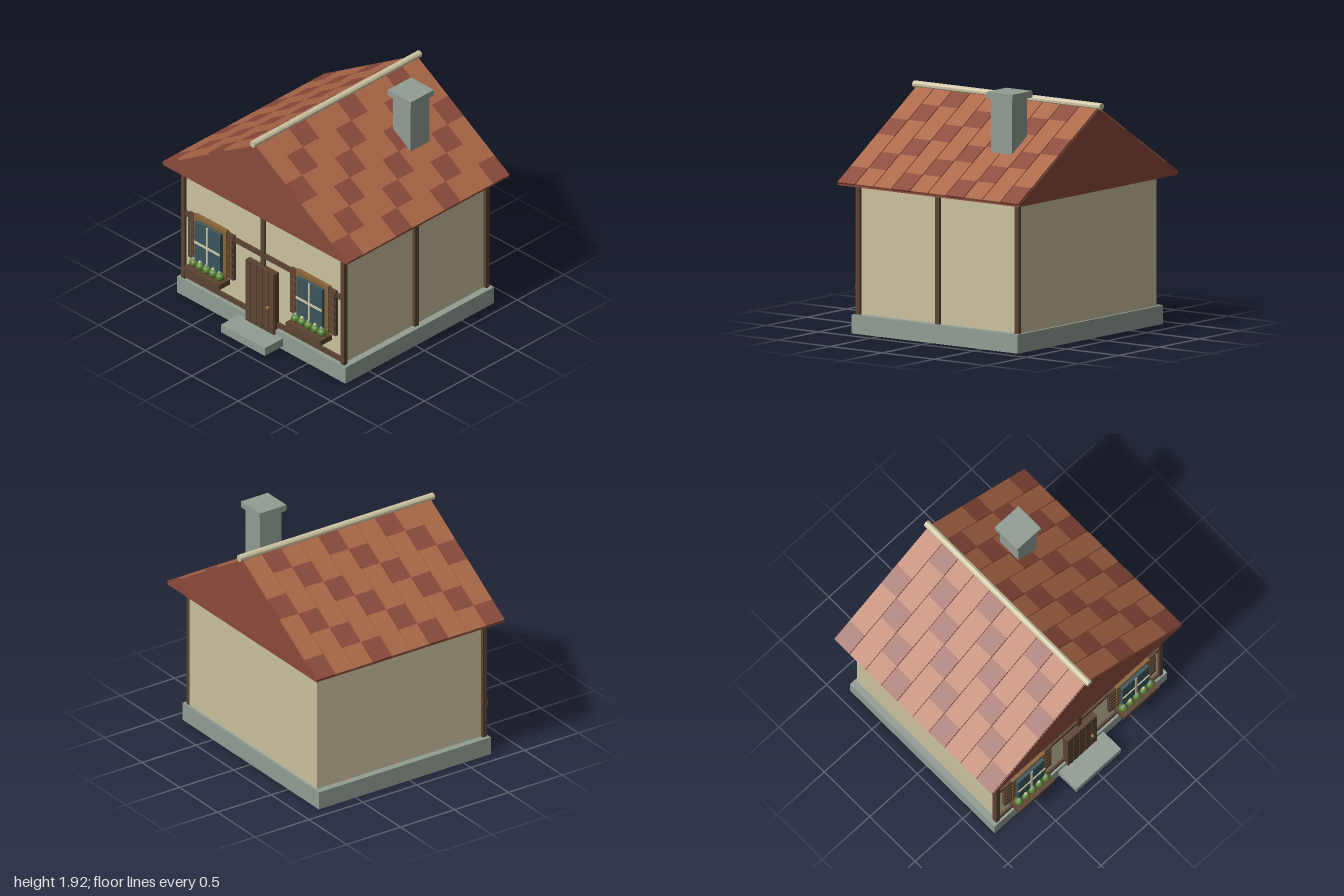
import * as THREE from 'three';

const mat = (name, color, flatShading = false) => {
  const m = new THREE.MeshStandardMaterial({ color, flatShading });
  m.name = name;
  return m;
};

export function createModel() {
  const model = new THREE.Group();
  model.name = 'cottage';
  const plaster = mat('plaster', 0xcbc19f);
  const timber = mat('dark timber', 0x5c4332);
  const stone = mat('grey stone', 0x919d94);
  const tileLight = mat('orange tile', 0xab6847);
  const tileDark = mat('red tile', 0x8b4a3b);
  const glass = mat('window glass', 0x3a565d);
  const frameWood = mat('light wood', 0x8a6439);
  const leaf = mat('leaf green', 0x568230, true);
  const cream = mat('cream', 0xcdc4a2, true);

  const add = (parent, name, geo, material, x = 0, y = 0, z = 0) => {
    const mesh = new THREE.Mesh(geo, material);
    mesh.name = name;
    mesh.position.set(x, y, z);
    parent.add(mesh);
    return mesh;
  };
  // Box given by its extents on each axis
  const box = (parent, name, m, x0, x1, y0, y1, z0, z1) =>
    add(parent, name, new THREE.BoxGeometry(x1 - x0, y1 - y0, z1 - z0), m,
      (x0 + x1) / 2, (y0 + y1) / 2, (z0 + z1) / 2);

  // Base, step and walls
  box(model, 'foundation', stone, -0.905, 0.905, 0, 0.145, -0.842, 0.753);
  box(model, 'doorStep', stone, -0.235, 0.235, 0.035, 0.105, 0.74, 0.95);
  box(model, 'walls', plaster, -0.85, 0.85, 0.14, 1.15, -0.82, 0.72);

  // Timber framing on the front and on the model's left side
  for (const s of [-1, 1]) {
    const a = s * 0.837, b = s * 0.876;
    box(model, 'frontCornerPost', timber, Math.min(a, b), Math.max(a, b), 0.145, 1.148, 0.7, 0.74);
  }
  box(model, 'frontCentrePost', timber, -0.02, 0.02, 0.145, 1.148, 0.71, 0.74);
  for (const y of [0.182, 0.74, 1.102])
    box(model, 'frontBeam', timber, -0.84, 0.84, y - 0.021, y + 0.021, 0.71, 0.738);
  box(model, 'sideMiddlePost', timber, 0.84, 0.876, 0.145, 1.148, -0.065, -0.025);
  box(model, 'sideBackPost', timber, 0.84, 0.876, 0.145, 1.148, -0.826, -0.788);

  // Door made of upright planks
  const door = new THREE.Group();
  door.name = 'door';
  model.add(door);
  box(door, 'doorPanel', timber, -0.155, 0.155, 0.03, 0.65, 0.71, 0.762);
  for (let i = 0; i < 5; i++) {
    const x = -0.155 + i * 0.062;
    box(door, 'doorPlank', timber, x + 0.003, x + 0.059, 0.03, 0.65, 0.75, 0.772);
  }
  add(door, 'doorKnob', new THREE.SphereGeometry(0.016, 12, 8), frameWood, 0.096, 0.33, 0.782);

  // Windows with shutters and flower boxes
  const ball = new THREE.IcosahedronGeometry(0.037, 1);
  const bud = new THREE.IcosahedronGeometry(0.015, 0);
  for (const s of [-1, 1]) {
    const w = new THREE.Group();
    w.name = 'window';
    w.position.x = s * 0.548;
    model.add(w);
    box(w, 'windowFrame', frameWood, -0.173, 0.173, 0.37, 0.79, 0.715, 0.757);
    box(w, 'windowPane', glass, -0.138, 0.138, 0.40, 0.757, 0.75, 0.785);
    box(w, 'uprightGlazingBar', cream, -0.009, 0.009, 0.40, 0.757, 0.78, 0.792);
    box(w, 'crossGlazingBar', cream, -0.138, 0.138, 0.566, 0.584, 0.78, 0.793);
    for (const side of [-1, 1]) {
      const cx = side * 0.208;
      box(w, 'shutter', timber, cx - 0.035, cx + 0.035, 0.375, 0.775, 0.715, 0.748);
      for (let i = 0; i < 5; i++) {
        const y = 0.445 + i * 0.067;
        box(w, 'shutterSlat', timber, cx - 0.03, cx + 0.03, y - 0.02, y + 0.02, 0.74, 0.756);
        box(w, 'shutterSlatEdge', frameWood, cx - 0.03, cx + 0.03, y - 0.025, y - 0.02, 0.74, 0.756);
      }
    }
    box(w, 'flowerBox', timber, -0.188, 0.188, 0.31, 0.355, 0.73, 0.85);
    for (let i = -2; i <= 2; i++) {
      add(w, 'plant', ball, leaf, i * 0.07, 0.388, 0.79);
      add(w, 'flower', bud, i % 2 ? cream : stone, i * 0.07, 0.424, 0.795);
    }
  }

  // Solid roof body with gable ends
  const eaveX = 0.99, eaveY = 1.158, ridgeY = 1.775, zBack = -0.922, zFront = 0.822;
  const gable = new THREE.Shape([[-eaveX, 1.147], [eaveX, 1.147], [eaveX, eaveY], [0, ridgeY], [-eaveX, eaveY]]
    .map(p => new THREE.Vector2(...p)));
  add(model, 'roofBody', new THREE.ExtrudeGeometry(gable, { depth: zFront - zBack, bevelEnabled: false }),
    tileDark, 0, 0, zBack);

  // Tile strips down each slope, with red tiles on a repeating diagonal
  const rows = 10, steps = 6, thick = 0.016;
  const pitch = (zFront - zBack) / rows;
  const angle = Math.atan2(ridgeY - eaveY, eaveX);
  const tileGeo = new THREE.BoxGeometry(Math.hypot(eaveX, ridgeY - eaveY) / steps, thick, pitch - 0.008);
  const roof = new THREE.Group();
  roof.name = 'roofTiles';
  model.add(roof);
  for (const s of [-1, 1])
    for (let r = 0; r < rows; r++)
      for (let i = 0; i < steps; i++) {
        const t = (i + 0.5) / steps;
        const tile = add(roof, 'roofTile', tileGeo, (i + r) % 3 ? tileLight : tileDark,
          s * (eaveX * (1 - t) + Math.sin(angle) * thick / 2),
          eaveY + (ridgeY - eaveY) * t + Math.cos(angle) * thick / 2,
          zBack + (r + 0.5) * pitch);
        tile.rotation.z = -s * angle;
      }

  // Ridge pole
  const ridge = add(model, 'ridgePole', new THREE.CylinderGeometry(0.028, 0.028, 1.8, 10), cream, 0, 1.797, -0.05);
  ridge.rotation.x = Math.PI / 2;

  // Chimney
  box(model, 'chimney', stone, 0.355, 0.545, 1.4, 1.88, -0.508, -0.308);
  box(model, 'chimneyCap', stone, 0.322, 0.57, 1.87, 1.92, -0.533, -0.284);
  return model;
}
